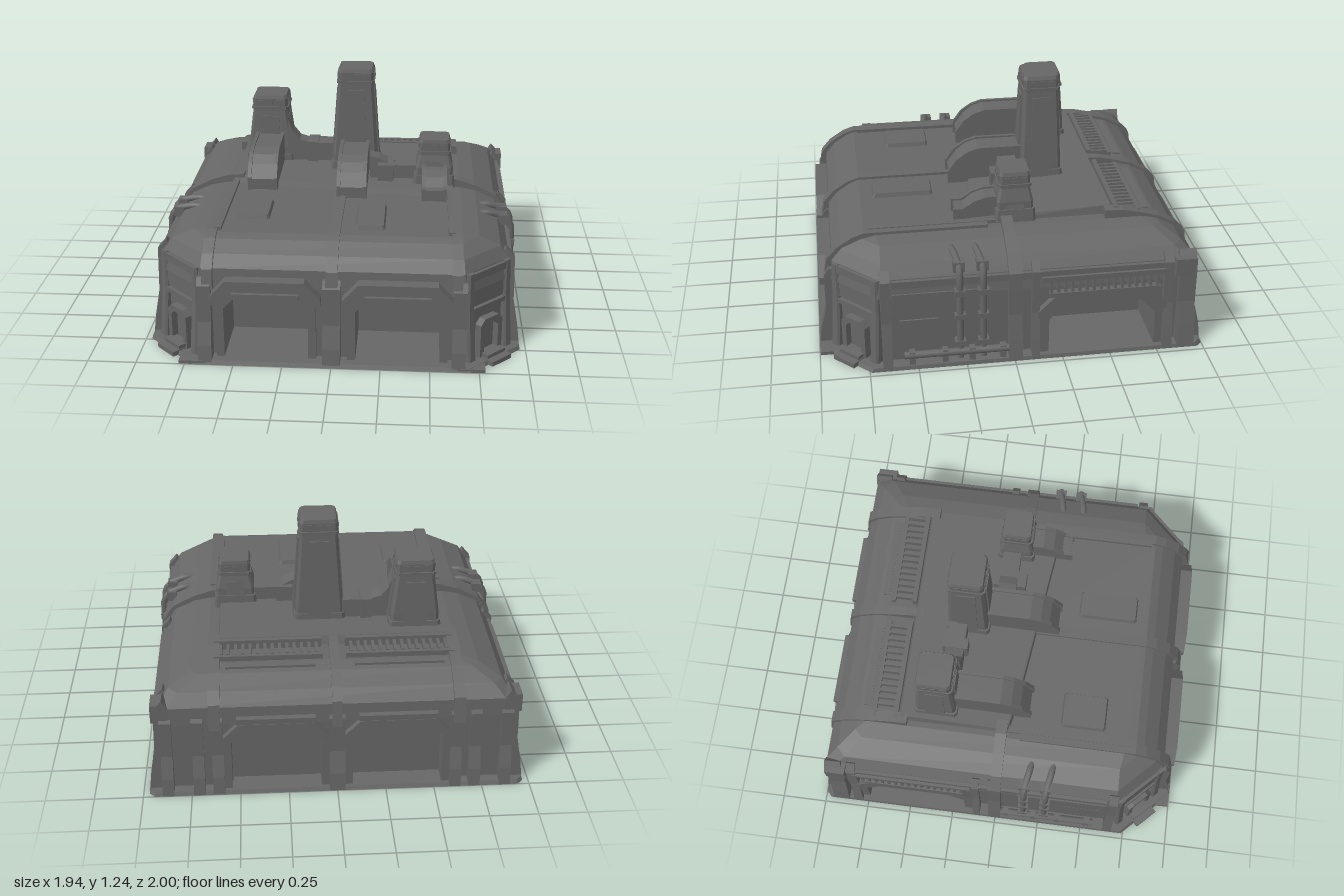
import * as THREE from 'three';

const steel = new THREE.MeshStandardMaterial({ color: 0x666666 });
steel.name = 'dark steel';

// Octagonal plan loop: half width, front z, back z, front and back corner cuts
const ring = (y, hx, zf, zb, cf, cb) => [
  [hx - cf, y, zf], [hx, y, zf - cf], [hx, y, zb + cb], [hx - cb, y, zb],
  [-hx + cb, y, zb], [-hx, y, zb + cb], [-hx, y, zf - cf], [-hx + cf, y, zf]];

// Flat-faced solid through loops from bottom to top, with both ends capped
function loft(rings) {
  const p = [], n = rings[0].length, tri = (a, b, c) => p.push(...a, ...b, ...c);
  for (let r = 0; r + 1 < rings.length; r++) {
    for (let i = 0; i < n; i++) {
      const j = (i + 1) % n, a = rings[r], b = rings[r + 1];
      tri(a[i], a[j], b[j]);
      tri(a[i], b[j], b[i]);
    }
  }
  const lo = rings[0], hi = rings[rings.length - 1];
  for (let i = 1; i + 1 < n; i++) { tri(hi[0], hi[i], hi[i + 1]); tri(lo[0], lo[i + 1], lo[i]); }
  const g = new THREE.BufferGeometry();
  g.setAttribute('position', new THREE.Float32BufferAttribute(p, 3));
  g.computeVertexNormals();
  return g;
}

const box = (w, h, d, x, y, z) => new THREE.BoxGeometry(w, h, d).translate(x, y, z);
const shapeOf = (pts) => new THREE.Shape(pts.map(([a, b]) => new THREE.Vector2(a, b)));
const opts = (depth) => ({ depth, bevelEnabled: false });
// Extrusion of an (x, y) outline from z to z + d
const alongZ = (pts, d, z) => new THREE.ExtrudeGeometry(shapeOf(pts), opts(d)).translate(0, 0, z);
// Extrusion of a (z, y) outline from x - w to x
const alongX = (pts, w, x) => new THREE.ExtrudeGeometry(shapeOf(pts), opts(w)).rotateY(-Math.PI / 2).translate(x, 0, 0);
const tube = (pts, r) => new THREE.TubeGeometry(
  new THREE.CatmullRomCurve3(pts.map((p) => new THREE.Vector3(...p)), false, 'catmullrom', 0.2), 20, r, 8);

// Bay outline with cut upper corners
const bay = (c, half, h, cut) => [
  [c - half, 0], [c - half, h - cut], [c - half + cut, h],
  [c + half - cut, h], [c + half, h - cut], [c + half, 0]];
const wall = (a, b, h, bays) => [[a, 0], ...bays.flat(), [b, 0], [b, h], [a, h]];
// Arch band between an outer and an inner bay
const arch = (c, ho, h, cut, t) => [...bay(c, ho, h, cut), ...bay(c, ho - t, h - t, cut * 0.85).reverse()];

// Reflection in x that keeps faces outward
function mirrored(geo) {
  const g = geo.index ? geo.toNonIndexed() : geo.clone();
  for (const name of ['position', 'normal']) {
    const at = g.attributes[name];
    for (let i = 0; i < at.count; i += 3) {
      const v = [0, 1, 2].map((k) => [-at.getX(i + k), at.getY(i + k), at.getZ(i + k)]);
      [v[0], v[2], v[1]].forEach((q, k) => at.setXYZ(i + k, ...q));
    }
  }
  return g;
}

export function createModel() {
  const model = new THREE.Group();
  model.name = 'factory';
  const add = (name, geo) => {
    const m = new THREE.Mesh(geo, steel);
    m.name = name;
    model.add(m);
  };
  const both = (name, geo) => { add(name + 'Left', geo); add(name + 'Right', mirrored(geo)); };

  // Base, inner core and thick walls with bay openings
  add('basePlate', loft([ring(0, 0.97, 1, -1, 0.26, 0.03), ring(0.02, 0.965, 0.99, -0.99, 0.26, 0.03)]));
  both('basePlateFrontTab', box(0.14, 0.018, 0.07, 0.71, 0.009, 0.962));
  add('core', box(1.24, 0.42, 1.5, 0, 0.21, -0.13));
  add('frontWall', alongZ(wall(-0.67, 0.67, 0.42, [bay(-0.335, 0.215, 0.36, 0.04), bay(0.335, 0.215, 0.36, 0.04)]), 0.29, 0.62));
  add('backWall', alongZ(wall(-0.9, 0.9, 0.42, [bay(-0.31, 0.23, 0.37, 0.06), bay(0.31, 0.23, 0.37, 0.06)]), 0.1, -0.94));
  both('sideWall', alongX(wall(-0.85, 0.68, 0.42, [bay(-0.46, 0.28, 0.3, 0.09)]), 0.28, 0.9));
  both('cornerWall', loft([0, 0.42].map((y) => [[0.67, y, 0.91], [0.9, y, 0.68], [0.67, y, 0.68]])));

  // Rounded roof shell
  add('roof', loft([
    ring(0.4, 0.91, 0.92, -0.95, 0.23, 0.03), ring(0.5, 0.895, 0.91, -0.945, 0.23, 0.04),
    ring(0.56, 0.85, 0.86, -0.89, 0.19, 0.05), ring(0.61, 0.74, 0.785, -0.8, 0.12, 0.04),
    ring(0.627, 0.65, 0.74, -0.73, 0.06, 0.02)]));
  add('roofDeck', loft([
    [[0.6, 0.62, 0.2], [0.6, 0.62, -0.58], [-0.62, 0.62, -0.58], [-0.62, 0.62, 0.04], [-0.4, 0.62, 0.08]],
    [[0.59, 0.645, 0.19], [0.59, 0.675, -0.56], [-0.61, 0.675, -0.56], [-0.61, 0.655, 0.03], [-0.4, 0.65, 0.07]]]));

  // Ribs that climb the walls and cross the roof
  const frontRib = [[0.88, 0.4], [0.955, 0.4], [0.935, 0.505], [0.88, 0.568], [0.8, 0.62], [0.74, 0.64], [0.1, 0.642], [0.1, 0.59], [0.7, 0.59]];
  const backRib = [[-0.9, 0.38], [-0.7, 0.58], [-0.52, 0.58], [-0.52, 0.675], [-0.62, 0.67], [-0.73, 0.645], [-0.81, 0.622], [-0.9, 0.575], [-0.955, 0.52], [-0.975, 0.38]];
  const sideRib = [[0.85, 0.4], [0.93, 0.4], [0.925, 0.5], [0.86, 0.58], [0.74, 0.64], [0.64, 0.67], [0.56, 0.675], [0.56, 0.6], [0.7, 0.59]];
  add('frontCentreRib', alongX(frontRib, 0.06, 0.03));
  add('backCentreRib', alongX(backRib, 0.05, 0.025));
  both('frontRib', alongX(frontRib, 0.055, 0.655));
  both('backRib', alongX(backRib, 0.06, 0.65));
  both('sideRib', alongZ(sideRib, 0.06, -0.03));
  both('roofEdge', box(0.035, 0.03, 0.72, 0.6, 0.63, 0.36));
  both('eave', box(0.03, 0.04, 1.46, 0.9, 0.475, -0.11));

  // Buttress pillars at front, back and sides
  const foot = [[0.86, 0], [0.995, 0], [0.985, 0.1], [0.955, 0.22], [0.955, 0.42], [0.93, 0.46], [0.86, 0.46]];
  const rear = foot.map(([a, b]) => [-a - 0.005, b]).reverse();
  add('frontCentrePillar', alongX(foot, 0.09, 0.045));
  add('backCentrePillar', alongX(rear, 0.08, 0.04));
  both('frontPillar', alongX(foot, 0.07, 0.68));
  for (const x of [0.64, 0.74, 0.9]) both('backPillar', alongX(rear, 0.06, x));
  const buttress = [[0.85, 0], [0.97, 0], [0.955, 0.12], [0.93, 0.26], [0.925, 0.5], [0.88, 0.55], [0.85, 0.5]];
  for (const [z, w] of [[-0.04, 0.07], [-0.13, 0.04], [-0.83, 0.05], [-0.95, 0.09], [0.63, 0.05]]) {
    both('sideButtress', alongZ(buttress, w, z));
  }
  both('rearCornerBlock', box(0.08, 0.1, 0.11, 0.9, 0.47, -0.89));

  // Bay frames, hoods and sloping garage ceilings
  for (const c of [-0.335, 0.335]) {
    add('garageFrame', alongZ(arch(c, 0.255, 0.4, 0.08, 0.04), 0.06, 0.88));
    add('garageHood', alongZ([[c - 0.28, 0.33], [c - 0.28, 0.37], [c - 0.2, 0.46], [c + 0.2, 0.46], [c + 0.28, 0.37],
      [c + 0.28, 0.33], [c + 0.25, 0.33], [c + 0.18, 0.41], [c - 0.18, 0.41], [c - 0.25, 0.33]], 0.1, 0.88));
    add('garageLintel', box(0.34, 0.025, 0.04, c, 0.37, 0.94));
    add('garageCeiling', alongX([[0.61, 0.28], [0.9, 0.35], [0.9, 0.37], [0.61, 0.37]], 0.42, c + 0.21));
  }
  for (const c of [-0.31, 0.31]) {
    add('rearFrame', alongZ(arch(c, 0.27, 0.41, 0.08, 0.04), 0.04, -0.975));
    add('rearLintel', box(0.4, 0.03, 0.05, c, 0.43, -0.955));
  }
  both('sideBayFrame', alongX(arch(-0.46, 0.34, 0.36, 0.1, 0.06), 0.05, 0.935));
  both('sideBayHood', box(0.04, 0.025, 0.58, 0.915, 0.36, -0.47));
  both('sideVentLedge', box(0.05, 0.03, 0.66, 0.905, 0.45, -0.47));
  for (let i = 0; i < 16; i++) both('sideVentFin', box(0.03, 0.065, 0.014, 0.915, 0.405, -0.19 - i * 0.037));

  // Side panels and pipework
  both('sideBand', box(0.03, 0.13, 0.5, 0.9, 0.355, 0.37));
  both('sidePanel', box(0.02, 0.2, 0.2, 0.9, 0.16, 0.49));
  both('sideLowPanel', box(0.02, 0.32, 0.12, 0.9, 0.22, 0.22));
  for (const z of [0.28, 0.16]) {
    both('pipe', tube([[0.93, 0.03, z], [0.93, 0.3, z], [0.93, 0.5, z], [0.9, 0.56, z], [0.8, 0.59, z + 0.02], [0.72, 0.58, z + 0.03]], 0.018));
    for (const y of [0.12, 0.28, 0.42]) both('pipeClamp', box(0.05, 0.03, 0.055, 0.925, y, z));
    both('pipeElbow', box(0.055, 0.055, 0.06, 0.88, 0.55, z));
  }
  both('floorPipe', tube([[0.94, 0.07, 0.02], [0.94, 0.07, 0.3], [0.94, 0.07, 0.57]], 0.02));
  for (const z of [0.06, 0.22, 0.36, 0.53]) both('pipeFoot', box(0.04, 0.08, 0.03, 0.935, 0.05, z));

  // Angled corner entrances, built facing +z then turned outward
  const corner = (name, geo) => both(name, geo.rotateY(Math.PI / 4).translate(0.785, 0, 0.795));
  corner('entranceFrame', alongZ(arch(0, 0.08, 0.23, 0.03, 0.03), 0.05, -0.01));
  corner('entranceDoor', box(0.12, 0.2, 0.02, 0, 0.1, -0.005));
  corner('entranceStep', box(0.14, 0.025, 0.13, 0, 0.0125, 0.055));
  corner('entranceUpperStep', box(0.13, 0.045, 0.07, 0, 0.0225, 0.045));
  corner('cornerWindow', box(0.22, 0.09, 0.02, 0, 0.36, 0));
  corner('cornerSill', box(0.28, 0.025, 0.04, 0, 0.29, 0));
  corner('cornerEave', box(0.3, 0.04, 0.03, 0, 0.475, 0));
  for (const s of [-1, 1]) {
    corner('cornerPost', loft([ring(0, 0.028, 0.045, -0.03, 0.01, 0), ring(0.3, 0.025, 0.022, -0.03, 0.01, 0),
      ring(0.5, 0.022, 0.018, -0.03, 0.01, 0)]).translate(s * 0.135, 0, 0));
  }

  // Roof hatches and vent strips
  for (const [x, z, w, d] of [[-0.45, 0.44, 0.2, 0.25], [0.18, 0.51, 0.16, 0.33]]) {
    add('roofHatch', loft([ring(0.62, w / 2, d / 2, -d / 2, 0.01, 0.01), ring(0.65, w / 2 - 0.01, d / 2 - 0.01, 0.01 - d / 2, 0.01, 0.01)]).translate(x, 0, z));
  }
  both('roofVentRailFront', box(0.56, 0.05, 0.025, 0.34, 0.652, -0.585));
  both('roofVentRailBack', box(0.56, 0.03, 0.02, 0.34, 0.64, -0.705));
  for (let i = 0; i < 14; i++) both('roofVentFin', box(0.016, 0.035, 0.1, 0.09 + i * 0.038, 0.642, -0.645));
  both('rearRoofPanel', box(0.46, 0.012, 0.04, 0.33, 0.624, -0.755));

  // Stacks with a capped head, raised face panels and a sloping duct in front
  // x, z, base half width, top half width, height, duct front, duct top
  const stacks = [
    [-0.44, -0.37, 0.13, 0.1, 1.045, 0.14, 0.82],
    [0.06, -0.26, 0.13, 0.1, 1.24, 0.24, 0.82],
    [0.51, -0.05, 0.105, 0.085, 0.9, 0.26, 0.75]];
  for (const [x, z, b, t, h, f, dt] of stacks) {
    const d = t + 0.01;
    const sq = (y, u, v) => ring(y, u, v, -v, t * 0.15, t * 0.15);
    const put = (name, geo) => add(name, geo.translate(x, 0, z));
    put('stack', loft([sq(0.62, b, d), sq(0.74, b * 0.98, d), sq(h - 0.09, t, t - 0.005), sq(h - 0.02, t, t - 0.005), sq(h, t * 0.92, t * 0.9)]));
    put('stackCollar', loft([sq(h - 0.08, t + 0.006, t + 0.003), sq(h - 0.065, t + 0.006, t + 0.003)]));
    put('stackSkirt', loft([sq(0.63, b + 0.012, d + 0.012), sq(0.7, b + 0.006, d + 0.008)]));
    const slab = (y, u, v) => ring(y, u, v, -v, 0, 0);
    put('stackFacePanel', loft([slab(0.66, b * 0.5, d + 0.01), slab(h - 0.12, t * 0.5, t + 0.005)]));
    put('stackSidePanel', loft([slab(0.66, b + 0.01, d * 0.5), slab(h - 0.12, t + 0.008, t * 0.5)]));
    for (const s of [-0.5, 0, 0.5]) {
      put('stackSlot', box(t * 0.3, 0.025, t * 2, s * t, h - 0.04, 0));
      put('stackSideSlot', box(t * 2 + 0.01, 0.025, t * 0.3, 0, h - 0.04, s * t));
    }
    const duct = (o) => [[z, 0.63], [f + o, 0.63], [f + o, 0.69 + o], [f - 0.05 + o, dt - 0.06 + o],
      [f - 0.1, dt - 0.02 + o], [f - 0.16, dt + o], [z, dt + o]];
    add('duct', alongX(duct(0), b * 1.15, x + b * 0.575));
    for (const s of [-1, 1]) add('ductRim', alongX(duct(0.01), 0.02, x + s * b * 0.55 + 0.01));
  }

  // Links between the stacks
  add('linkBrace', alongZ([[-0.34, 0.64], [-0.03, 0.64], [-0.03, 0.77], [-0.2, 0.77], [-0.27, 0.79], [-0.31, 0.84], [-0.34, 0.92]], 0.1, -0.36));
  add('linkCollar', box(0.06, 0.14, 0.14, -0.19, 0.71, -0.31));
  add('lowLink', alongZ([[0.15, 0.64], [0.45, 0.64], [0.45, 0.73], [0.28, 0.73], [0.2, 0.77], [0.15, 0.78]], 0.1, -0.12));
  add('lowLinkCollar', box(0.09, 0.11, 0.18, 0.24, 0.69, -0.06));
  return model;
}
